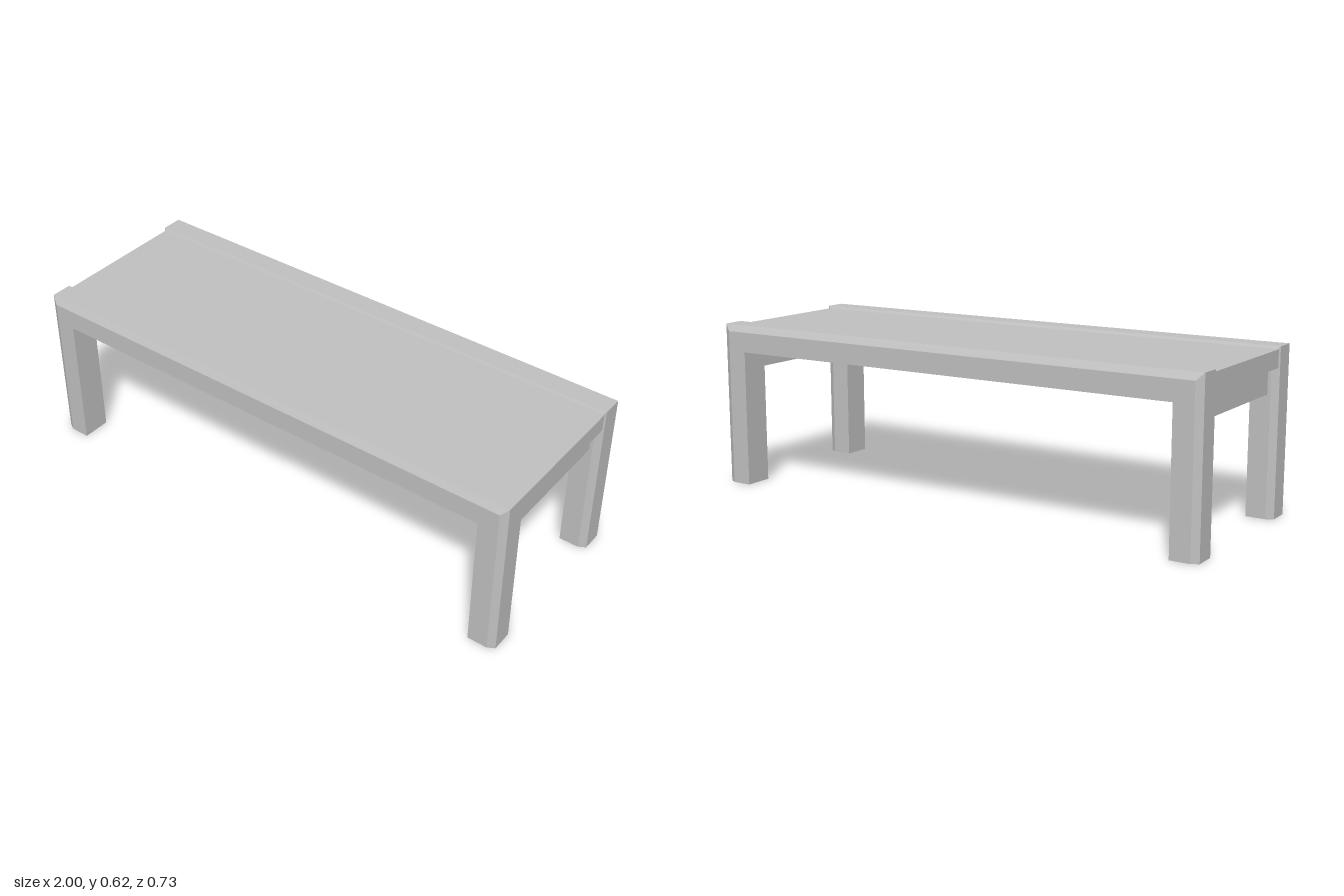
import * as THREE from 'three';

const HEIGHT = 0.62;

// Side frame: two legs and a rail as one mitred U, with chamfered outer edges.
function frameGeometry() {
  // Cross-section: [z from the middle of the beam, depth in from the outer face]
  const section = [
    [0.055, 0.102], [-0.055, 0.102], [-0.055, 0.026],
    [-0.04, 0], [0.04, 0], [0.055, 0.026],
  ];
  // Stations: foot, corner, corner, foot
  const stations = [
    ([z, t]) => [-1 + t, 0, z],
    ([z, t]) => [-1 + t, HEIGHT - t, z],
    ([z, t]) => [1 - t, HEIGHT - t, z],
    ([z, t]) => [1 - t, 0, z],
  ];
  const rings = stations.map((place) => section.map(place));
  const n = section.length;
  const pos = [];
  const tri = (a, b, c) => pos.push(...a, ...b, ...c);

  for (let k = 0; k < rings.length - 1; k++) {
    for (let i = 0; i < n; i++) {
      const j = (i + 1) % n;
      tri(rings[k][i], rings[k][j], rings[k + 1][j]);
      tri(rings[k][i], rings[k + 1][j], rings[k + 1][i]);
    }
  }
  // Soles of the feet
  const first = rings[0], last = rings[rings.length - 1];
  for (let i = 1; i < n - 1; i++) {
    tri(first[0], first[i + 1], first[i]);
    tri(last[0], last[i], last[i + 1]);
  }

  const geometry = new THREE.BufferGeometry();
  geometry.setAttribute('position', new THREE.Float32BufferAttribute(pos, 3));
  geometry.computeVertexNormals();
  return geometry;
}

export function createModel() {
  const group = new THREE.Group();
  group.name = 'bench';
  const grey = new THREE.MeshStandardMaterial({ color: 0xc0c0c0 });
  grey.name = 'plain grey';

  const add = (name, geometry, x, y, z) => {
    const mesh = new THREE.Mesh(geometry, grey);
    mesh.name = name;
    mesh.position.set(x, y, z);
    group.add(mesh);
  };

  // Front and back frames
  const frame = frameGeometry();
  add('frontFrame', frame, 0, 0, 0.31);
  add('backFrame', frame, 0, 0, -0.31);

  // Seat panel, set slightly below the rails
  add('seatPanel', new THREE.BoxGeometry(1.99, 0.066, 0.53), 0, 0.577, 0);

  // Cross rails between the legs at each end
  const crossRail = new THREE.BoxGeometry(0.055, 0.096, 0.512);
  add('leftCrossRail', crossRail, 0.935, 0.497, 0);
  add('rightCrossRail', crossRail, -0.935, 0.497, 0);

  return group;
}
